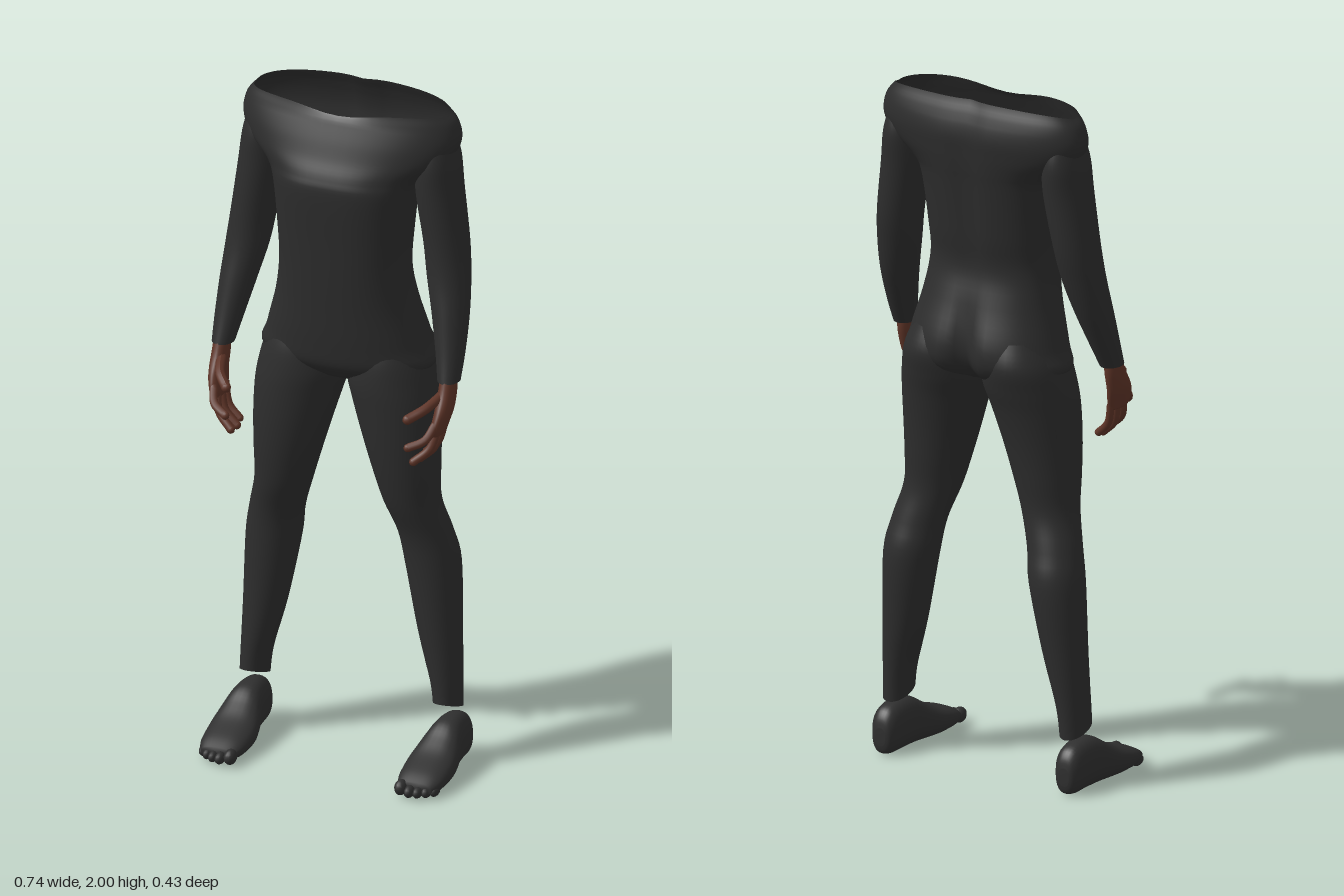
import * as THREE from 'three';
import { mergeGeometries } from 'three/addons/utils/BufferGeometryUtils.js';

const mat = (name, color, side = THREE.FrontSide) => {
  const m = new THREE.MeshStandardMaterial({ color, side });
  m.name = name;
  return m;
};

// Smooth skin over cross-sections listed from top to bottom.
// Row: [y, xMin, xMax, zFront, zBack, zWidest, squareness, cleft]
function loft(rows, { seg = 40, steps = 5, cap = false, lift = () => 0 } = {}) {
  const full = rows.map(([y, x0, x1, zf, zb, zc = (zf + zb) / 2, n = 2, cleft = 0]) => [y, x0, x1, zf, zb, zc, n, cleft]);
  const at = i => full[Math.max(0, Math.min(full.length - 1, i))];
  const rings = [];
  for (let i = 0; i < full.length - 1; i++) {
    for (let s = 0; s < steps || (i === full.length - 2 && s === steps); s++) {
      const t = s / steps, p = at(i - 1), a = at(i), b = at(i + 1), c = at(i + 2);
      rings.push(a.map((v, k) => {
        const m0 = (b[k] - p[k]) / 2, m1 = (c[k] - v) / 2;
        return v + m0 * t + (3 * (b[k] - v) - 2 * m0 - m1) * t * t + (2 * (v - b[k]) + m0 + m1) * t * t * t;
      }));
    }
  }
  const pos = [], idx = [], bend = (v, n) => Math.sign(v) * Math.abs(v) ** (2 / n);
  rings.forEach(([y, x0, x1, zf, zb, zc, n, cleft], r) => {
    for (let j = 0; j < seg; j++) {
      const a = j / seg * Math.PI * 2;
      const cx = bend(Math.cos(a), n), cz = bend(Math.sin(a), n);
      const x = (x0 + x1) / 2 + cx * (x1 - x0) / 2;
      const groove = cz < 0 ? cleft * Math.exp(-((x / 0.035) ** 2)) : 0;
      pos.push(x, y + lift(cx, cz, r / (rings.length - 1)), zc + cz * (cz > 0 ? zf - zc : zc - zb) + groove);
    }
  });
  for (let i = 0; i < rings.length - 1; i++) {
    for (let j = 0; j < seg; j++) {
      const a = i * seg + j, b = i * seg + (j + 1) % seg;
      idx.push(a, b, a + seg, b, b + seg, a + seg);
    }
  }
  if (cap) {
    [[0, 1], [rings.length - 1, -1]].forEach(([r, dir]) => {
      const [y, x0, x1, zf, zb] = rings[r], centre = pos.length / 3;
      pos.push((x0 + x1) / 2, y, (zf + zb) / 2);
      for (let j = 0; j < seg; j++) {
        const a = r * seg + j, b = r * seg + (j + 1) % seg;
        if (dir > 0) idx.push(centre, b, a); else idx.push(centre, a, b);
      }
    });
  }
  const g = new THREE.BufferGeometry();
  g.setAttribute('position', new THREE.Float32BufferAttribute(pos, 3));
  g.setIndex(idx);
  g.computeVertexNormals();
  return g;
}

// Reflected copy with the face order restored
function mirrored(g) {
  const m = g.clone().scale(-1, 1, 1), ix = m.index.array;
  for (let i = 0; i < ix.length; i += 3) [ix[i], ix[i + 1]] = [ix[i + 1], ix[i]];
  m.computeVertexNormals();
  return m;
}

// Rounded finger along three joints
function finger(points, r) {
  const p = points.map(q => new THREE.Vector3(...q));
  const tube = new THREE.TubeGeometry(new THREE.CatmullRomCurve3(p), 10, r, 10);
  const tip = new THREE.SphereGeometry(r, 10, 8).translate(...points[2]);
  return mergeGeometries([tube, tip]);
}

export function createModel() {
  const model = new THREE.Group();
  model.name = 'body';
  const suit = mat('suit charcoal', 0x2d2d2d, THREE.DoubleSide);
  const shoe = mat('foot charcoal', 0x2f2f2f);
  const skin = mat('skin brown', 0x5e3427);

  const add = (name, geometry, material) => {
    const mesh = new THREE.Mesh(geometry, material);
    mesh.name = name;
    model.add(mesh);
  };
  const addPair = (name, geometry, material) => {
    add('left' + name, geometry, material);
    add('right' + name, mirrored(geometry), material);
  };

  // Torso with a wide open neckline
  const torso = [
    [1.975, 0.29, 0.03, -0.165, -0.075, 2.3, 0.012],
    [1.95, 0.312, 0.042, -0.185, -0.08, 2.3, 0.01],
    [1.9, 0.322, 0.066, -0.197, -0.08, 2.2, 0.01],
    [1.85, 0.3, 0.088, -0.195, -0.075, 2.2, 0.01],
    [1.8, 0.235, 0.112, -0.19, -0.06, 2.4, 0.01],
    [1.75, 0.205, 0.122, -0.183, -0.04, 2.6, 0.01],
    [1.6, 0.19, 0.113, -0.165, -0.03, 2.5, 0.008],
    [1.5, 0.188, 0.107, -0.152, -0.03, 2.4, 0.005],
    [1.4, 0.203, 0.1, -0.178, -0.04, 2.3, 0.01],
    [1.28, 0.236, 0.09, -0.217, -0.05, 2.2, 0.035],
    [1.21, 0.25, 0.076, -0.203, -0.055, 2.1, 0.045],
    [1.165, 0.12, 0.03, -0.14, -0.05, 2, 0.03],
  ].map(([y, w, ...rest]) => [y, -w, w, ...rest]);
  add('torso', loft(torso, {
    seg: 64,
    lift: (cx, cz, t) => {
      const rim = Math.max(0, 1 - t * 11);
      return rim * (cz < 0 ? -0.025 * cz : 0.012 * cz - 0.022 * cz * Math.exp(-((cx / 0.4) ** 2)));
    },
  }), suit);

  // Legs with open, slanted cuffs
  addPair('Leg', loft([
    [1.31, 0.03, 0.21, 0.05, -0.185],
    [1.24, 0.012, 0.243, 0.07, -0.207],
    [1.17, 0.002, 0.262, 0.077, -0.193],
    [1.1, 0.02, 0.272, 0.076, -0.172],
    [1.0, 0.05, 0.275, 0.07, -0.15],
    [0.9, 0.08, 0.274, 0.058, -0.135],
    [0.8, 0.11, 0.275, 0.038, -0.126],
    [0.7, 0.143, 0.3, 0.008, -0.145],
    [0.6, 0.16, 0.318, -0.003, -0.164],
    [0.4, 0.2, 0.324, -0.01, -0.147],
    [0.25, 0.24, 0.328, -0.012, -0.131],
    [0.175, 0.25, 0.33, -0.012, -0.125],
  ], { lift: (cx, cz, t) => Math.max(0, t * 8 - 7) * 0.02 * cz }), suit);

  // Sleeves tucked beneath the shoulder caps
  addPair('Sleeve', loft([
    [1.9, 0.215, 0.305, 0.0, -0.145],
    [1.84, 0.202, 0.32, 0.015, -0.158],
    [1.75, 0.2, 0.332, 0.015, -0.15],
    [1.6, 0.225, 0.352, 0.013, -0.135],
    [1.5, 0.241, 0.363, 0.02, -0.112],
    [1.4, 0.266, 0.37, 0.04, -0.08],
    [1.3, 0.29, 0.372, 0.062, -0.035],
    [1.225, 0.307, 0.37, 0.082, 0.002],
  ]), suit);

  // Palms
  addPair('Palm', loft([
    [1.26, 0.317, 0.361, 0.068, 0.014],
    [1.2, 0.316, 0.364, 0.094, 0.016],
    [1.15, 0.316, 0.362, 0.126, 0.026],
    [1.11, 0.313, 0.352, 0.144, 0.036],
    [1.085, 0.316, 0.344, 0.135, 0.046],
  ], { seg: 24, cap: true }), skin);

  // Curled fingers and thumbs
  const digits = {
    LittleFinger: [[[0.33, 1.105, 0.05], [0.314, 1.04, 0.06], [0.28, 1.005, 0.065]], 0.011],
    RingFinger: [[[0.332, 1.105, 0.078], [0.314, 1.035, 0.09], [0.276, 0.997, 0.096]], 0.012],
    MiddleFinger: [[[0.333, 1.11, 0.105], [0.316, 1.045, 0.128], [0.274, 1.005, 0.145]], 0.012],
    IndexFinger: [[[0.332, 1.12, 0.128], [0.316, 1.085, 0.162], [0.274, 1.065, 0.185]], 0.012],
    Thumb: [[[0.332, 1.19, 0.07], [0.308, 1.17, 0.14], [0.272, 1.15, 0.183]], 0.014],
  };
  for (const [name, [points, r]] of Object.entries(digits)) addPair(name, finger(points, r), skin);

  // Feet, lofted from toe to heel
  addPair('Foot', loft([
    [0.19, 0.248, 0.345, -0.012, -0.042],
    [0.15, 0.232, 0.362, -0.003, -0.062],
    [0.08, 0.227, 0.367, 0, -0.086],
    [0.03, 0.235, 0.362, 0, -0.112],
    [-0.02, 0.248, 0.352, 0, -0.141],
    [-0.07, 0.254, 0.346, 0, -0.146],
    [-0.12, 0.26, 0.342, 0, -0.135],
    [-0.143, 0.272, 0.33, -0.008, -0.11],
    [-0.15, 0.285, 0.318, -0.03, -0.08],
  ].map(([z, x0, x1, zf, zb]) => [z, x0, x1, zf, zb, undefined, 2.4]), { seg: 32, cap: true })
    .rotateX(Math.PI / 2), shoe);

  // Toes
  [[0.256, 0.19, 0.018], [0.284, 0.196, 0.014], [0.307, 0.19, 0.013], [0.328, 0.178, 0.013], [0.346, 0.162, 0.013]]
    .forEach(([x, z, r], i) => addPair('Toe' + (i + 1),
      new THREE.SphereGeometry(1, 14, 10).scale(r, r * 1.25, 0.025).translate(x, r * 1.25 + 0.003, z), shoe));

  return model;
}
